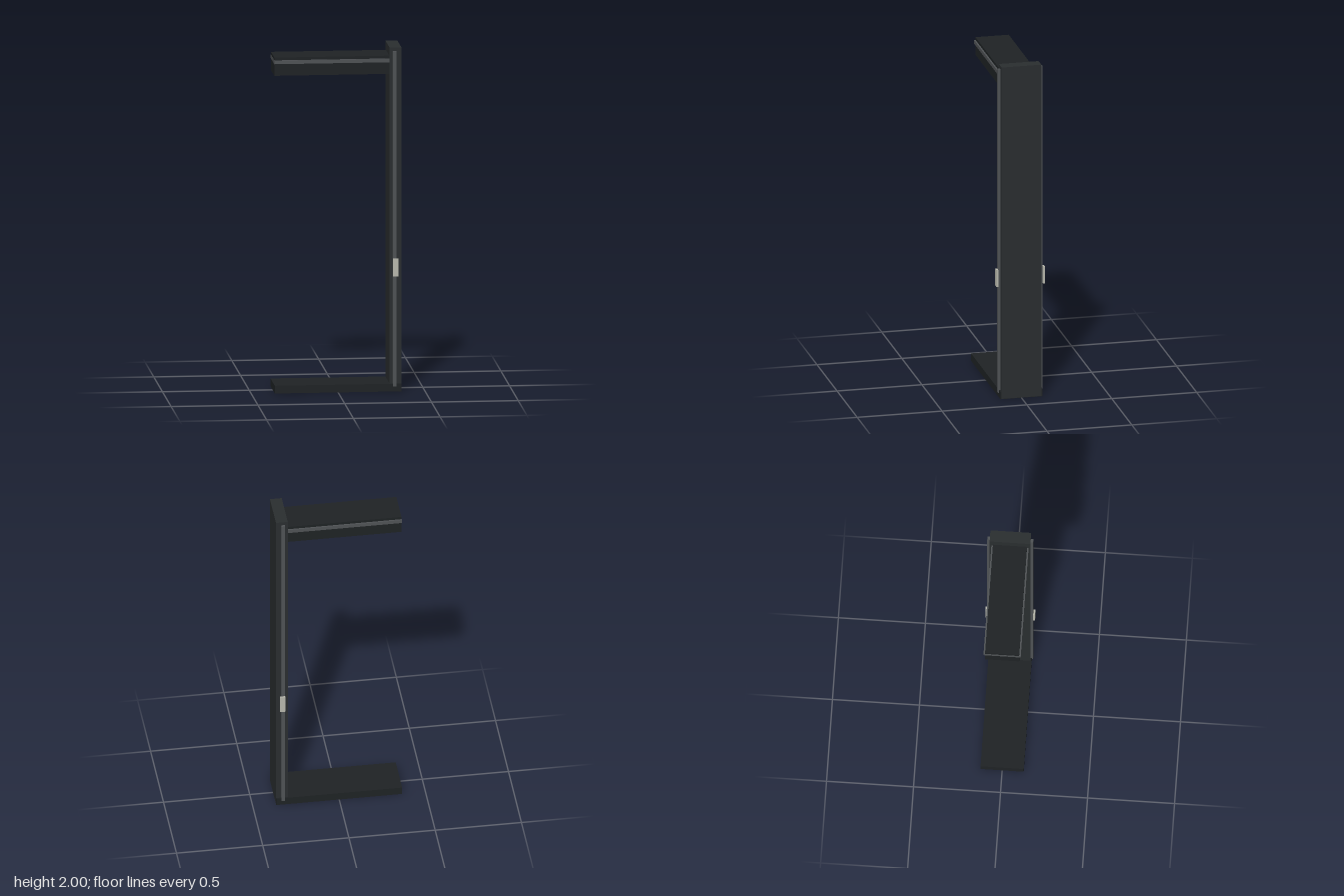
import * as THREE from 'three';

const mat = (color) => new THREE.MeshStandardMaterial({ color });

export function createModel() {
  const group = new THREE.Group();
  const frame = mat(0x1f2325), column = mat(0x2a2e30), trim = mat(0x505356), pale = mat(0xb9b9ae);

  // box given by its min and max on each axis
  const box = (name, material, [x0, x1], [y0, y1], [z0, z1]) => {
    const mesh = new THREE.Mesh(new THREE.BoxGeometry(x1 - x0, y1 - y0, z1 - z0), material);
    mesh.position.set((x0 + x1) / 2, (y0 + y1) / 2, (z0 + z1) / 2);
    mesh.name = name;
    group.add(mesh);
  };

  // floor plate and upright
  box('basePlate', frame, [-0.365, 0.365], [0, 0.045], [-0.124, 0.124]);
  box('post', column, [0.297, 0.3655], [0.002, 2], [-0.117, 0.117]);

  // overhead arm with a trim slab running through it
  box('topArm', frame, [-0.365, 0.3], [1.844, 1.95], [-0.098, 0.098]);
  box('armTrim', trim, [-0.366, 0.3], [1.913, 1.934], [-0.107, 0.107]);

  // upright rails and their slider plates, on both sides
  box('postRails', trim, [0.315, 0.335], [0.03, 1.98], [-0.132, 0.132]);
  for (const s of [1, -1]) {
    const z = [0.132 * s, 0.143 * s].sort((a, b) => a - b);
    box(s > 0 ? 'frontSlider' : 'backSlider', pale, [0.315, 0.345], [0.672, 0.775], z);
  }
  return group;
}
